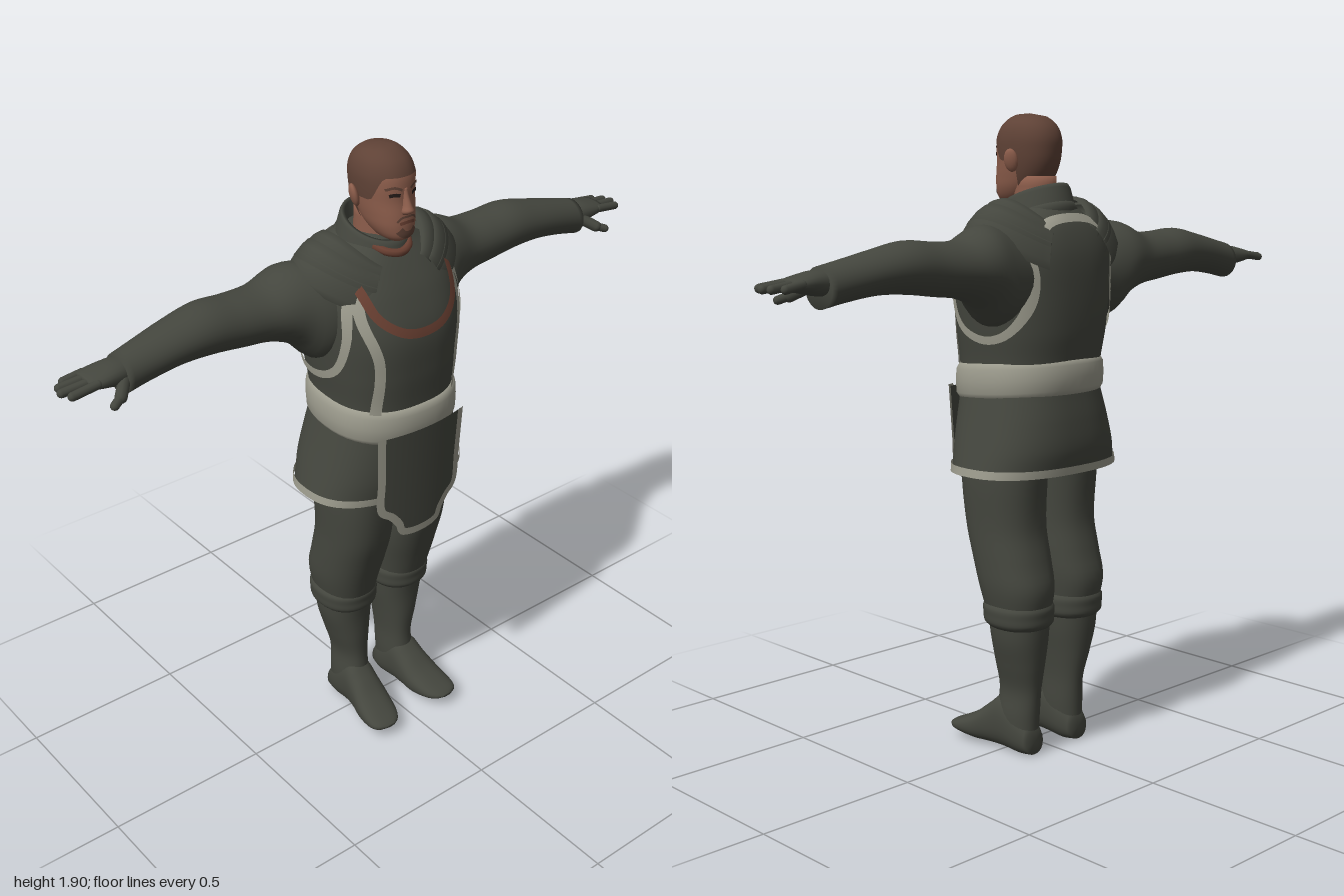
import * as THREE from 'three';
import { mergeGeometries, mergeVertices } from 'three/addons/utils/BufferGeometryUtils.js';

const V = (x, y, z) => new THREE.Vector3(x, y, z);
const mat = (name, color, side = THREE.FrontSide) => {
  const m = new THREE.MeshStandardMaterial({ color, side });
  m.name = name;
  return m;
};

// Smooth interpolation of section rows [key, a0, a1, b0, b1] at key k
function section(rows, k) {
  let i = 0;
  while (i < rows.length - 2 && k > rows[i + 1][0]) i++;
  const p = rows[i], q = rows[i + 1], h = q[0] - p[0];
  const t = THREE.MathUtils.clamp((k - p[0]) / h, 0, 1);
  const slope = (j, c) => {
    const lo = rows[Math.max(j - 1, 0)], hi = rows[Math.min(j + 1, rows.length - 1)];
    return (hi[c] - lo[c]) / (hi[0] - lo[0]);
  };
  const at = c => (2 * t ** 3 - 3 * t * t + 1) * p[c] + (t ** 3 - 2 * t * t + t) * h * slope(i, c)
    + (3 * t * t - 2 * t ** 3) * q[c] + (t ** 3 - t * t) * h * slope(i + 1, c);
  const [a0, a1, b0, b1] = [1, 2, 3, 4].map(at);
  return { a: (a0 + a1) / 2, ha: (a1 - a0) / 2, b: (b0 + b1) / 2, hb: (b1 - b0) / 2 };
}

// Surface sheet from a function of (u, v)
function grid(fn, nu, nv) {
  const pos = [], idx = [], w = nu + 1;
  for (let j = 0; j <= nv; j++) for (let i = 0; i <= nu; i++) pos.push(...fn(i / nu, j / nv).toArray());
  for (let j = 0; j < nv; j++) for (let i = 0; i < nu; i++) {
    const a = j * w + i, b = a + 1, c = a + w, d = c + 1;
    idx.push(a, c, b, b, c, d);
  }
  let g = new THREE.BufferGeometry();
  g.setAttribute('position', new THREE.Float32BufferAttribute(pos, 3));
  g.setIndex(idx);
  g = mergeVertices(g, 1e-5);
  g.computeVertexNormals();
  return g;
}

// Rounded body through sections along y, x or z; ends are closed unless open
const place = {
  y: (k, a, b) => V(a, k, b),
  x: (k, a, b) => V(k, b, a),
  z: (k, a, b) => V(-a, b, k),
};
const pw = (c, p) => Math.sign(c) * Math.abs(c) ** p;
function ringPoint(rows, axis, p, u, k, size = 1) {
  const s = section(rows, k), t = (u % 1) * Math.PI * 2;
  return place[axis](k, s.a + s.ha * size * pw(Math.cos(t), p), s.b + s.hb * size * pw(Math.sin(t), p));
}
function loft(rows, { axis = 'y', p = 0.9, nu = 32, nv = 28, open = false } = {}) {
  const lo = rows[0][0], hi = rows[rows.length - 1][0], n = nv + 2;
  return grid((u, v) => {
    const j = Math.round(v * n), t = THREE.MathUtils.clamp((j - 1) / nv, 0, 1);
    return ringPoint(rows, axis, p, u, lo + (hi - lo) * t, !open && (j === 0 || j === n) ? 0 : 1);
  }, nu, n);
}

// Flat band laid over a projected surface, following 2D points
function strip(surface, pts, width, n = 40) {
  const curve = new THREE.CatmullRomCurve3(pts.map(([x, y]) => V(x, y, 0)));
  return grid((u, v) => {
    const c = curve.getPointAt(v), t = curve.getTangentAt(v), d = (u - 0.5) * width;
    return surface(c.x - t.y * d, c.y + t.x * d);
  }, 4, n);
}
const rim = f => Math.max(1 - f, 0);
const facing = (rows, p, sign, lift) => (x, y) => {
  const s = section(rows, y);
  return V(x, y, s.b + sign * (s.hb * rim(Math.abs((x - s.a) / s.ha) ** (2 / p)) ** (p / 2) + lift));
};
const sideways = (rows, p, lift) => (z, y) => {
  const s = section(rows, y);
  return V(s.ha * rim(Math.abs((z - s.b) / s.hb) ** (2 / p)) ** (p / 2) + lift, y, z);
};

function mirrored(g) {
  const m = g.clone().scale(-1, 1, 1), ix = m.index.array;
  for (let i = 0; i < ix.length; i += 3) [ix[i], ix[i + 1]] = [ix[i + 1], ix[i]];
  return m;
}
function capsule(a, b, r) {
  const d = b.clone().sub(a), g = new THREE.CapsuleGeometry(r, d.length(), 4, 10);
  g.applyQuaternion(new THREE.Quaternion().setFromUnitVectors(V(0, 1, 0), d.normalize()));
  return g.translate((a.x + b.x) / 2, (a.y + b.y) / 2, (a.z + b.z) / 2);
}

export function createModel() {
  const model = new THREE.Group();
  model.name = 'tunicFigure';
  const cloth = mat('darkCloth', 0x44463e, THREE.DoubleSide);
  const pale = mat('paleTrim', 0x9c9b8d, THREE.DoubleSide);
  const brown = mat('brownTrim', 0x6a4032, THREE.DoubleSide);
  const skin = mat('skin', 0x8c5d4b);
  const hair = mat('hair', 0x5f4236, THREE.DoubleSide);
  const dark = mat('eyeDark', 0x241b18, THREE.DoubleSide);
  const add = (name, geo, material) => {
    const m = new THREE.Mesh(geo, material);
    m.name = name;
    model.add(m);
  };
  const pair = (name, geo, material) => {
    add(name + 'Left', geo, material);
    add(name + 'Right', mirrored(geo), material);
  };

  // Torso
  const torso = [[1.06, -.2, .2, -.18, .185], [1.18, -.2, .2, -.185, .19], [1.28, -.212, .212, -.2, .197],
    [1.4, -.222, .222, -.205, .194], [1.5, -.222, .222, -.2, .155], [1.57, -.19, .19, -.18, .11],
    [1.62, -.11, .11, -.15, .07], [1.65, -.07, .07, -.12, .04]];
  const tp = 0.8;
  add('torso', loft(torso, { p: tp, nu: 48, nv: 40 }), cloth);
  const chest = facing(torso, tp, 1, .007), back = facing(torso, tp, -1, .007);
  pair('frontTrim', strip(chest, [[.155, 1.57], [.172, 1.47], [.14, 1.33], [.143, 1.16]], .026), pale);
  pair('armholeTrim', strip(sideways(torso, tp, .01), [[-.15, 1.55], [-.17, 1.44], [-.155, 1.34],
    [-.1, 1.275], [-.02, 1.26], [.07, 1.3], [.11, 1.4], [.095, 1.52]], .024), pale);
  add('backNeckTrim', strip(back, [[-.14, 1.52], [-.1, 1.585], [0, 1.605], [.1, 1.585], [.14, 1.52]], .024), pale);
  add('neckline', strip(facing(torso, tp, 1, .012), [[-.16, 1.55], [-.135, 1.47], [-.075, 1.422],
    [0, 1.408], [.075, 1.422], [.135, 1.47], [.16, 1.55]], .026), brown);

  // Sloping rings: profile of [radius offset, y] around an oval
  const band = (profile, rx, z0, z1, slope, p = 1) => grid((u, v) => {
    const [o, y] = profile[Math.round(v * (profile.length - 1))], t = (u % 1) * Math.PI * 2;
    const z = (z0 + z1) / 2 + ((z1 - z0) / 2 + o) * pw(Math.sin(t), p);
    return V((rx + o) * pw(Math.cos(t), p), y - slope * z, z);
  }, 48, profile.length - 1);
  add('belt', band([[-.02, 1.085], [0, 1.083], [.01, 1.1], [.012, 1.135], [.01, 1.17], [0, 1.188], [-.02, 1.186]],
    .203, -.185, .195, .08, .85), pale);
  add('collar', band([[.03, 1.57], [.018, 1.61], [.008, 1.65], [.002, 1.662], [-.008, 1.66], [-.012, 1.6]],
    .085, -.12, .075, .33), cloth);
  add('collarFold', band([[.0, 1.56], [.025, 1.565], [.03, 1.585], [.02, 1.605], [0, 1.61]],
    .085, -.12, .08, .33), cloth);
  add('collarTrim', new THREE.TubeGeometry(new THREE.CatmullRomCurve3(
    [V(-.06, 1.625, .045), V(-.035, 1.612, .08), V(0, 1.607, .094), V(.035, 1.612, .08), V(.06, 1.625, .045)]),
    24, .012, 8), brown);

  // Skirt and front panel
  const skirt = [[.87, -.265, .265, -.192, .168], [.94, -.246, .246, -.205, .182],
    [1.02, -.224, .224, -.2, .188], [1.1, -.203, .203, -.186, .188]];
  add('skirt', loft(skirt, { p: .82, nu: 48, open: true }), cloth);
  add('skirtHem', loft([[.866, -.27, .27, -.197, .173], [.89, -.266, .266, -.2, .177]],
    { p: .82, nu: 48, nv: 2, open: true }), pale);
  const panelEdge = [[.155, 1.1], [.15, .95], [.145, .845], [.112, .818], [.086, .785], [.07, .752]];
  const panel = lift => (x, y) => V(x, y, .207 - .9 * x * x - .06 * (1.1 - y) + lift);
  add('frontPanel', grid((u, v) => {
    const f = v * (panelEdge.length - 1), i = Math.min(Math.floor(f), panelEdge.length - 2), t = f - i;
    const [x, y] = [0, 1].map(c => panelEdge[i][c] * (1 - t) + panelEdge[i + 1][c] * t);
    return panel(0)((u * 2 - 1) * x, y);
  }, 16, 25), cloth);
  const inset = panelEdge.map(([x, y]) => [x - .008, y + .005]);
  add('panelTrim', strip(panel(.005), [...inset, ...inset.map(([x, y]) => [-x, y]).reverse()], .024, 120), pale);

  // Layered shoulder plates
  [[.13, .195, 1.66, 1.635], [.175, .238, 1.645, 1.605], [.215, .268, 1.617, 1.565]].forEach(([r0, r1, y0, y1], i) => {
    const rows = [[r0, y0 - .01], [r0 + .01, y0], [(r0 + r1) / 2, (y0 + y1) / 2 + .008], [r1, y1], [r1 - .006, y1 - .025]];
    pair('shoulderPlate' + (i + 1), grid((u, v) => {
      const [r, y] = rows[Math.round(v * 4)], a = (u * 2 - 1) * 1.08, s = Math.sin(a);
      return V(r * Math.cos(a), y - .1 * s * s, -.035 + (.1 + r * .34) * s);
    }, 24, 4), cloth);
  });

  // Arms and hands
  pair('sleeve', loft([[.14, -.17, .09, 1.33, 1.55], [.22, -.185, .075, 1.3, 1.585], [.28, -.187, .045, 1.355, 1.585],
    [.36, -.175, .02, 1.388, 1.552], [.45, -.165, .012, 1.4, 1.55], [.55, -.16, .01, 1.412, 1.556],
    [.65, -.147, .005, 1.415, 1.537], [.75, -.13, 0, 1.402, 1.515], [.82, -.118, -.002, 1.388, 1.5]],
    { axis: 'x', p: 1, nv: 40 }), cloth);
  pair('palm', loft([[.79, -.105, -.015, 1.42, 1.49], [.84, -.108, -.008, 1.425, 1.49],
    [.89, -.112, -.008, 1.435, 1.48], [.92, -.108, -.015, 1.442, 1.472]], { axis: 'x', nu: 20, nv: 10 }), cloth);
  const fingers = [[-.1, -.104, .955], [-.073, -.08, .98], [-.046, -.052, .988], [-.02, -.02, .975]]
    .map(([z0, z1, x]) => capsule(V(.9, 1.459, z0), V(x, 1.45, z1), .0125));
  const thumb = [capsule(V(.825, 1.445, -.02), V(.858, 1.422, .015), .017),
    capsule(V(.858, 1.422, .015), V(.885, 1.412, .028), .0125)];
  pair('fingers', mergeGeometries([...fingers, ...thumb]), cloth);

  // Legs and boots
  pair('trouserLeg', loft([[.43, .02, .185, -.15, .045], [.52, .008, .203, -.165, .07], [.6, .001, .206, -.146, .095],
    [.7, 0, .206, -.126, .125], [.85, 0, .21, -.135, .145], [.98, 0, .2, -.15, .15]], { p: .88 }), cloth);
  pair('bootCuff', loft([[.402, .02, .186, -.148, .04], [.415, .01, .197, -.16, .052], [.44, .008, .2, -.162, .054],
    [.462, .008, .2, -.163, .056], [.476, .016, .19, -.155, .048]], { nv: 12 }), cloth);
  pair('bootShaft', loft([[.04, .05, .14, -.11, .03], [.12, .044, .142, -.114, .032], [.2, .044, .137, -.12, .026],
    [.28, .036, .157, -.134, .03], [.36, .025, .178, -.145, .033], [.43, .02, .185, -.15, .042]]), cloth);
  pair('foot', loft([[-.112, -.13, -.06, .005, .08], [-.07, -.142, -.045, 0, .13], [0, -.148, -.043, .004, .175],
    [.05, -.156, -.043, .006, .14], [.1, -.168, -.045, .008, .1], [.16, -.172, -.06, .02, .068],
    [.19, -.16, -.08, .03, .055], [.202, -.135, -.1, .038, .048]], { axis: 'z', p: .85 }), cloth);

  // Head and neck
  const head = [[1.642, -.022, .022, .04, .095], [1.655, -.042, .042, 0, .116], [1.685, -.06, .06, -.04, .121],
    [1.72, -.069, .069, -.07, .119], [1.76, -.075, .075, -.088, .113], [1.8, -.078, .078, -.094, .112],
    [1.83, -.077, .077, -.093, .107], [1.86, -.068, .068, -.08, .092], [1.88, -.052, .052, -.058, .07],
    [1.892, -.033, .033, -.033, .045], [1.896, -.012, .012, -.01, .02]];
  add('head', loft(head, { p: .92, nu: 40, nv: 40 }), skin);
  add('neck', loft([[1.55, -.065, .065, -.09, .05], [1.64, -.06, .06, -.085, .05], [1.72, -.06, .06, -.08, .04]],
    { p: 1, nv: 6 }), skin);
  const smooth = THREE.MathUtils.smoothstep;
  add('croppedHair', grid((u, v) => {
    const s = Math.sin(u * Math.PI * 2);
    const low = 1.765 + .065 * smooth(s, .3, .8) - .085 * smooth(-s, .05, .6);
    const k = low + (1.896 - low) * v, c = V(0, 1.8, .01);
    return ringPoint(head, 'y', .92, u, k, v === 1 ? 0 : 1).sub(c).multiplyScalar(1.03).add(c);
  }, 48, 24), hair);
  add('nose', loft([[1.727, -.014, .014, .1, .124], [1.737, -.018, .018, .1, .139], [1.75, -.013, .013, .1, .134],
    [1.775, -.009, .009, .1, .122], [1.8, -.008, .008, .095, .113]], { p: 1, nu: 16, nv: 14 }), skin);
  pair('ear', new THREE.SphereGeometry(1, 16, 12).scale(.012, .034, .022).rotateZ(-.25).rotateY(.35)
    .translate(.085, 1.765, -.005), skin);
  const face = facing(head, .92, 1, .003);
  pair('eye', strip(face, [[.02, 1.782], [.033, 1.785], [.047, 1.782]], .01, 10), dark);
  pair('eyebrow', strip(face, [[.014, 1.797], [.035, 1.805], [.055, 1.799]], .007, 10), hair);
  add('mouth', strip(face, [[-.025, 1.703], [0, 1.706], [.025, 1.703]], .009, 12), brown);
  add('moustache', strip(face, [[-.032, 1.708], [-.02, 1.719], [0, 1.721], [.02, 1.719], [.032, 1.708]], .006, 16), hair);
  add('goatee', strip(face, [[-.026, 1.684], [-.014, 1.672], [0, 1.669], [.014, 1.672], [.026, 1.684]], .022, 16), hair);
  return model;
}
